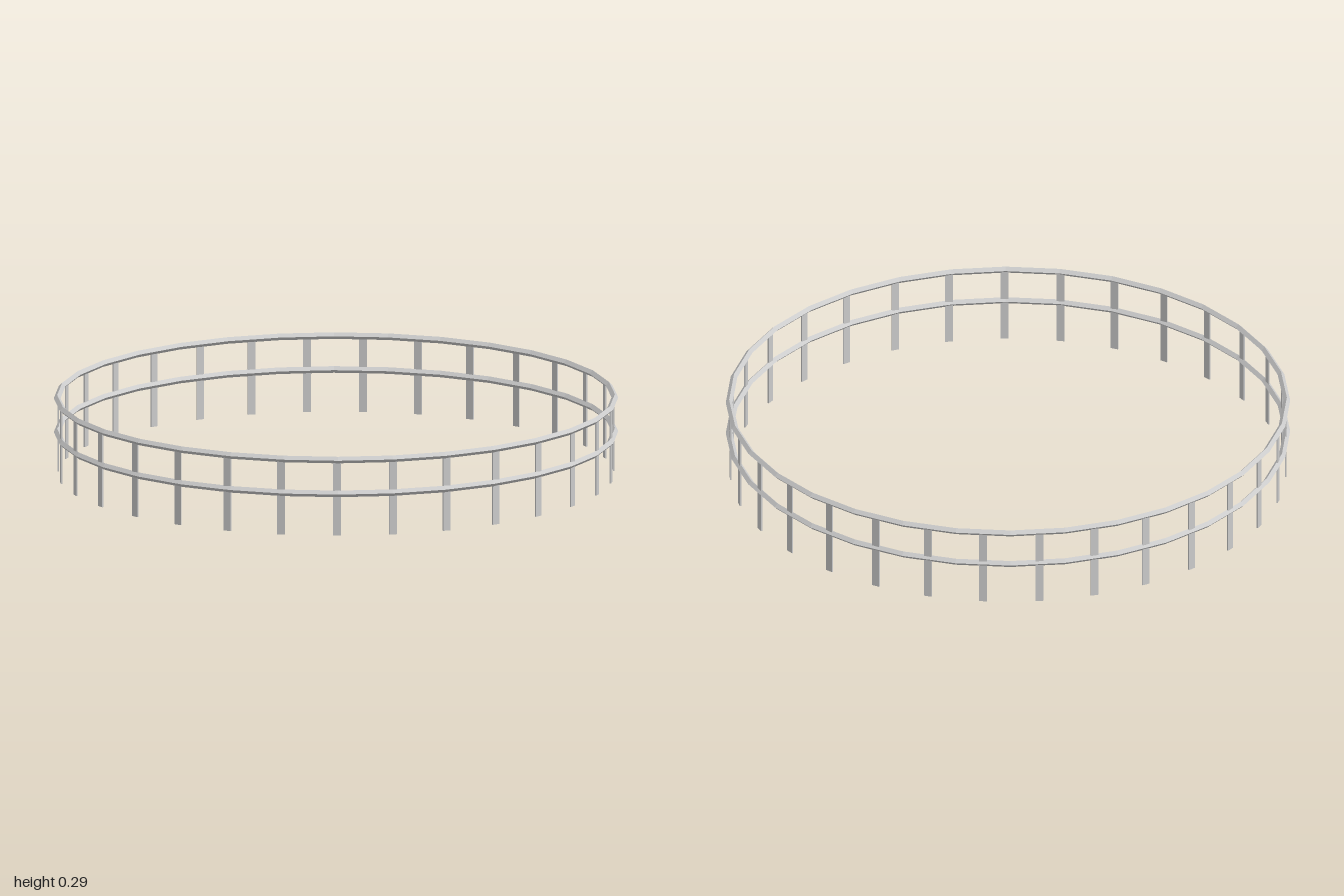
import * as THREE from 'three';

const RING_RADIUS = 0.988;
const TUBE = 0.012;
const POSTS = 31;
const POST_HEIGHT = 0.275;

export function createModel() {
  const model = new THREE.Group();
  model.name = 'roundFence';
  const material = new THREE.MeshStandardMaterial({ color: 0xcccccc, flatShading: true });

  // Two horizontal rails: 32-sided rings with a diamond cross-section
  const railGeometry = new THREE.TorusGeometry(RING_RADIUS, TUBE, 4, 32);
  railGeometry.rotateX(Math.PI / 2);
  for (const [name, y] of [['topRail', POST_HEIGHT], ['middleRail', 0.152]]) {
    const rail = new THREE.Mesh(railGeometry, material);
    rail.name = name;
    rail.position.y = y;
    model.add(rail);
  }

  // Thin flat posts, each set slightly to one side along the rail
  const postGeometry = new THREE.BoxGeometry(0.028, POST_HEIGHT, 0.005);
  postGeometry.translate(0.009, POST_HEIGHT / 2, RING_RADIUS - 0.003);
  const posts = new THREE.Group();
  posts.name = 'posts';
  for (let i = 0; i < POSTS; i++) {
    const post = new THREE.Mesh(postGeometry, material);
    post.name = 'post';
    post.rotation.y = (i / POSTS) * Math.PI * 2;
    posts.add(post);
  }
  model.add(posts);

  return model;
}
